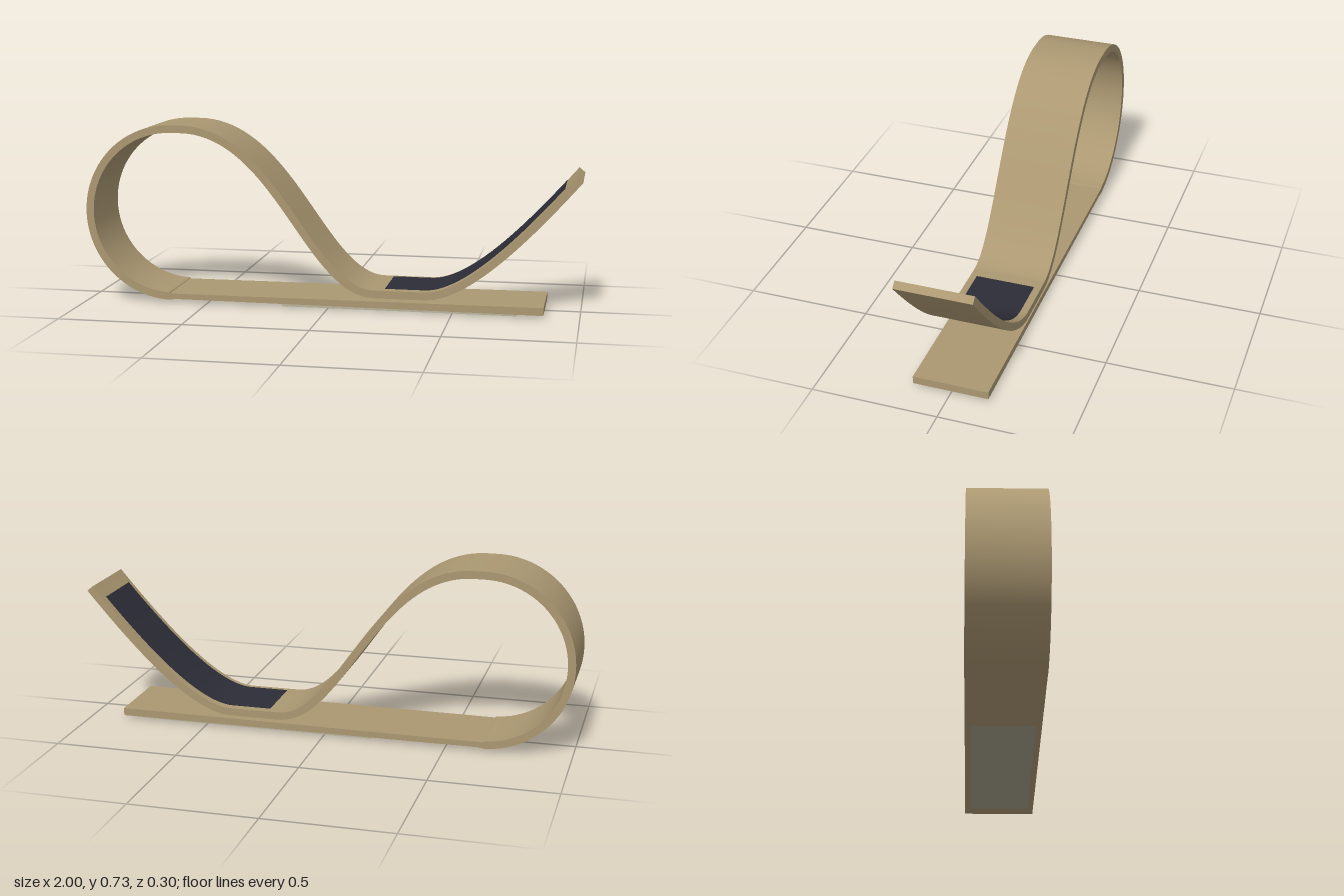
import * as THREE from 'three';
import { mergeGeometries } from 'three/addons/utils/BufferGeometryUtils.js';

const HALF_WIDTH = 0.15, HALF_THICK = 0.0155;

// Smooth sheet between two matching edges of 3D points
function sheet(a, b) {
  const pos = [], idx = [];
  a.forEach((p, i) => {
    pos.push(...p, ...b[i]);
    if (i) {
      const k = 2 * i;
      idx.push(k - 2, k, k + 1, k - 2, k + 1, k - 1);
    }
  });
  const g = new THREE.BufferGeometry();
  g.setAttribute('position', new THREE.Float32BufferAttribute(pos, 3));
  g.setIndex(idx);
  g.computeVertexNormals();
  return g;
}

// Edge of 3D points: a 2D path moved sideways along its left normal, placed at depth z
function edge(points, offset, z) {
  return points.map((p, i) => {
    const t = new THREE.Vector2();
    if (i > 0) t.add(p.clone().sub(points[i - 1]).normalize());
    if (i < points.length - 1) t.add(points[i + 1].clone().sub(p).normalize());
    t.normalize();
    return [p.x - t.y * offset, p.y + t.x * offset, z];
  });
}

// Solid band of rectangular section following a 2D path
function band(points, halfThick, halfWidth) {
  const of = edge(points, halfThick, halfWidth), ob = edge(points, halfThick, -halfWidth);
  const nf = edge(points, -halfThick, halfWidth), nb = edge(points, -halfThick, -halfWidth);
  const last = points.length - 1;
  return mergeGeometries([
    sheet(of, ob), sheet(ob, nb), sheet(nb, nf), sheet(nf, of),
    sheet([nb[0], nf[0]], [ob[0], of[0]]),
    sheet([ob[last], of[last]], [nb[last], nf[last]]),
  ]);
}

export function createModel() {
  const group = new THREE.Group();
  const tan = new THREE.MeshStandardMaterial({ color: 0xab9872, name: 'tan metal' });
  const dark = new THREE.MeshStandardMaterial({ color: 0x2c2d37, name: 'dark pad', side: THREE.DoubleSide });
  const grey = new THREE.MeshStandardMaterial({ color: 0xa6a28c, name: 'grey pad', side: THREE.DoubleSide });

  const add = (name, geometry, material) => {
    const mesh = new THREE.Mesh(geometry, material);
    mesh.name = name;
    group.add(mesh);
  };

  // Bent strip: flat base, round loop, S-curve down, flat seat and raised tongue
  const tongue = new THREE.CubicBezierCurve(
    new THREE.Vector2(0.39, 0.07), new THREE.Vector2(0.56, 0.07),
    new THREE.Vector2(0.8, 0.33), new THREE.Vector2(0.988, 0.55));
  const path = new THREE.Path();
  path.moveTo(0.86, 0.0275);
  path.lineTo(-0.642, 0.0275);
  path.absarc(-0.642, 0.37, 0.3425, -Math.PI / 2, -Math.PI * 1.5, true);
  path.lineTo(-0.6, 0.7125);
  path.bezierCurveTo(-0.205, 0.7125, -0.075, 0.07, 0.19, 0.07);
  path.lineTo(0.39, 0.07);
  path.curves.push(tongue);
  add('bentStrip', band(path.getPoints(40), HALF_THICK, HALF_WIDTH), tan);

  // Dark lining on the upper face of the tongue
  const lining = [new THREE.Vector2(0.23, 0.07)];
  for (let i = 0; i <= 40; i++) lining.push(tongue.getPoint(0.925 * i / 40));
  const lift = HALF_THICK + 0.003;
  add('tongueLining', sheet(edge(lining, lift, 0.122), edge(lining, lift, -0.122)), dark);

  // Thin pad under the base
  const under = [new THREE.Vector2(0.755, 0), new THREE.Vector2(-0.195, 0)];
  add('basePad', sheet(edge(under, 0, 0.125), edge(under, 0, -0.125)), grey);

  return group;
}
